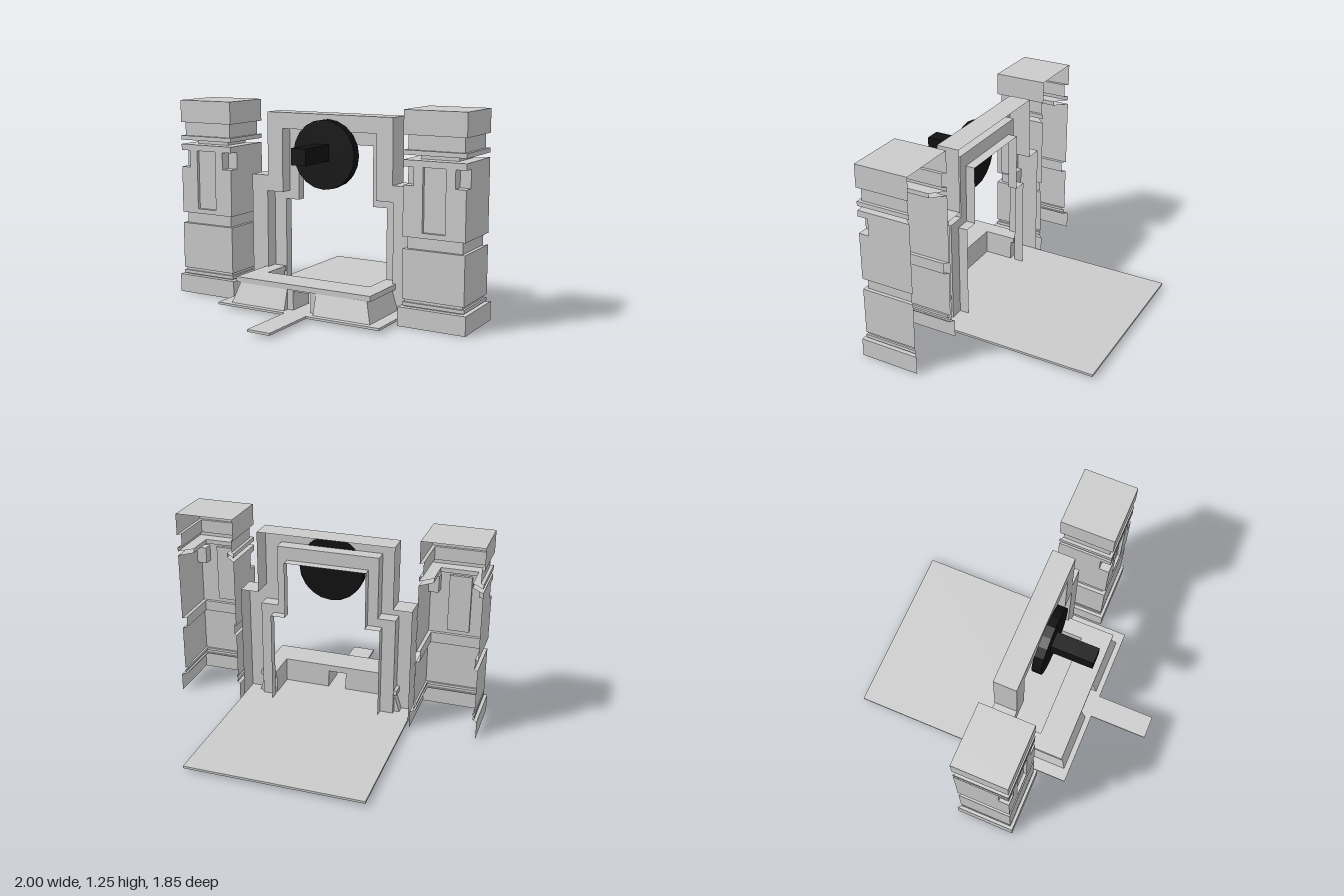
import * as THREE from 'three';

const grey = new THREE.MeshStandardMaterial({ color: 0xcccccc, flatShading: true, side: THREE.DoubleSide });
const black = new THREE.MeshStandardMaterial({ color: 0x111111, flatShading: true });

function add(parent, name, geometry, material = grey, x = 0, y = 0, z = 0) {
  const mesh = new THREE.Mesh(geometry, material);
  mesh.name = name;
  mesh.position.set(x, y, z);
  parent.add(mesh);
  return mesh;
}

// Skins a sheet across rows of [x, y, z] points
function loft(rows) {
  const pos = [];
  for (let r = 0; r + 1 < rows.length; r++) {
    for (let i = 0; i + 1 < rows[r].length; i++) {
      const a = rows[r][i], b = rows[r][i + 1], c = rows[r + 1][i + 1], d = rows[r + 1][i];
      pos.push(...a, ...b, ...c, ...a, ...c, ...d);
    }
  }
  const g = new THREE.BufferGeometry();
  g.setAttribute('position', new THREE.Float32BufferAttribute(pos, 3));
  g.computeVertexNormals();
  return g;
}

// Pillar section, open at the back: half width h, corner notch n, panel recess p
function pillarRow(y, h, n = 0, p = 0) {
  const depth = h - 0.022, f = depth, w = 0.07;
  const half = [[h, -depth], [h, f - n], [h - n, f - n], [h - n, f], [w, f], [w, f - p]];
  const left = half.map(([x, z]) => [-x, y, z]);
  const right = half.map(([x, z]) => [x, y, z]).reverse();
  return [...left, ...right];
}

function pillarGeometry() {
  // [bottom, top, half width, notch, recess]
  const bands = [
    [0, 0.115, 0.211], [0.115, 0.122, 0.18], [0.122, 0.143, 0.192], [0.143, 0.16, 0.18],
    [0.16, 0.455, 0.192], [0.455, 0.525, 0.17],
    [0.525, 0.555, 0.192], [0.555, 0.82, 0.192, 0, 0.02], [0.82, 0.927, 0.192, 0.065, 0.02], [0.927, 0.965, 0.192],
    [0.965, 0.993, 0.117], [0.993, 1.02, 0.192], [1.02, 1.105, 0.172], [1.105, 1.245, 0.192],
  ];
  const rows = [];
  for (const [y0, y1, h, n, p] of bands) rows.push(pillarRow(y0, h, n, p), pillarRow(y1, h, n, p));
  // Roof: fold the last row onto its back edge
  rows.push(rows[rows.length - 1].map(([x, y]) => [x, y, -0.17]));
  return loft(rows);
}

// Stepped doorway outline: lower half width a up to y1, upper half width b up to y2
function archRow(z, a, y1, b, y2, y0) {
  const half = [[a, y0], [a, y1], [b, y1], [b, y2]];
  return [...half.map(([x, y]) => [-x, y, z]), ...half.map(([x, y]) => [x, y, z]).reverse()];
}

// Half of the terrace wall; the outer faces lean inwards towards the top
function terraceHalf(s) {
  const row = (y, x, z) => [
    [0.06, 0.285], [0.06, 0.465], [0.1, 0.465], [0.1, z], [x, z], [x, 0.1], [0.36, 0.1], [0.36, 0.285], [0.06, 0.285],
  ].map(([px, pz]) => [s * px, y, pz]);
  return loft([row(0.03, 0.48, 0.505), row(0.157, 0.44, 0.467)]);
}

export function createModel() {
  const root = new THREE.Group();
  root.name = 'gateway';

  // Flanking hollow pillars
  const pillar = pillarGeometry();
  for (const s of [-1, 1]) add(root, s > 0 ? 'leftPillar' : 'rightPillar', pillar, grey, s * 0.789, 0, 0.165);

  // Stepped arch, a shell open at the back
  const outer = [0.56, 0.78, 0.44, 1.18, 0.018];
  const middle = [0.445, 0.68, 0.33, 1.08, 0.01];
  const inner = [0.36, 0.625, 0.265, 0.995, 0.01];
  add(root, 'arch', loft([
    archRow(0.01, ...outer), archRow(0.155, ...outer),
    archRow(0.155, ...middle), archRow(0.07, ...middle),
    archRow(0.07, ...inner), archRow(0.01, ...inner),
  ]));

  // Floor and walkway
  add(root, 'floor', new THREE.BoxGeometry(1.116, 0.014, 1.465), grey, 0, 0.023, -0.1925);
  add(root, 'walkway', new THREE.BoxGeometry(0.15, 0.014, 0.38), grey, 0, 0.023, 0.73);

  // Terrace with a passage through the front
  for (const s of [-1, 1]) add(root, 'terraceWall', terraceHalf(s));
  add(root, 'passageLintel', new THREE.BoxGeometry(0.2, 0.012, 0.18), grey, 0, 0.151, 0.375);
  const rim = new THREE.Shape([
    [-0.465, -0.08], [-0.465, -0.475], [0.465, -0.475], [0.465, -0.08],
    [0.36, -0.08], [0.36, -0.285], [-0.36, -0.285], [-0.36, -0.08],
  ].map(([x, y]) => new THREE.Vector2(x, y)));
  const rimGeo = new THREE.ExtrudeGeometry(rim, { depth: 0.033, bevelEnabled: false }).rotateX(-Math.PI / 2);
  add(root, 'terraceRim', rimGeo, grey, 0, 0.155, 0);

  // Dark disc and its projecting beam
  const disc = new THREE.CylinderGeometry(0.212, 0.212, 0.06, 20).rotateX(Math.PI / 2);
  add(root, 'disc', disc, black, 0, 0.94, 0.18);
  add(root, 'beam', new THREE.BoxGeometry(0.1, 0.1, 0.275), black, -0.01, 0.955, 0.34);

  return root;
}
